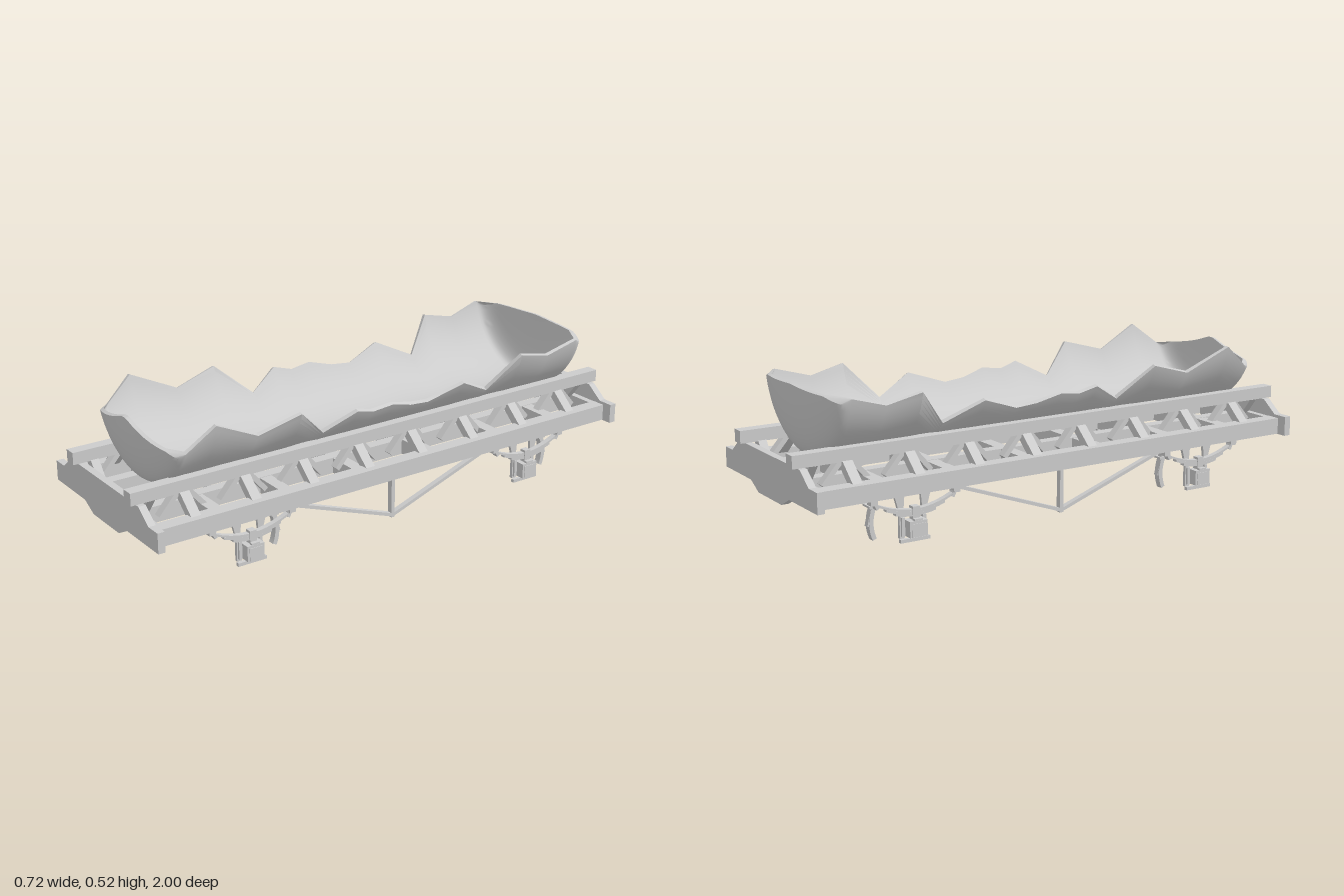
import * as THREE from 'three';
import { toCreasedNormals } from 'three/addons/utils/BufferGeometryUtils.js';

const mat = new THREE.MeshStandardMaterial({ color: 0xcccccc });
const V = (x, y, z) => new THREE.Vector3(x, y, z);

function add(parent, name, geo) {
  const m = new THREE.Mesh(geo, mat);
  m.name = name;
  parent.add(m);
  return m;
}
function box(parent, name, w, h, d, x, y, z) {
  const m = add(parent, name, new THREE.BoxGeometry(w, h, d));
  m.position.set(x, y, z);
  return m;
}
// Bar of w (x) by d (z) section between two points
function strut(parent, name, a, b, w, d) {
  const dir = b.clone().sub(a);
  const m = add(parent, name, new THREE.BoxGeometry(w, dir.length(), d));
  m.position.copy(a).add(b).multiplyScalar(0.5);
  m.quaternion.setFromUnitVectors(V(0, 1, 0), dir.normalize());
  return m;
}
// Side-view shape (shape x becomes -z), extruded across x and centred
function sidePlate(parent, name, shape, width, x, y, z) {
  const geo = new THREE.ExtrudeGeometry(shape, { depth: width, bevelEnabled: false, curveSegments: 10 });
  geo.translate(0, 0, -width / 2).rotateY(Math.PI / 2);
  add(parent, name, geo).position.set(x, y, z);
}
const poly = (pts) => new THREE.Shape(pts.map((p) => new THREE.Vector2(...p)));

// Lower part of a burst tank: body stations with a jagged rim, and dished ends
function tankShell() {
  const R = 0.3, CY = 0.565, T = 0.014, N = 40, CAP = 10, ZB = 0.82, DEPTH = 0.075;
  const jag = [ // z, rim height
    [0.82, 0.44], [0.72, 0.522], [0.55, 0.44], [0.39, 0.485], [0.265, 0.37], [0.15, 0.435],
    [0.08, 0.415], [0, 0.425], [-0.09, 0.4], [-0.17, 0.392], [-0.31, 0.44], [-0.45, 0.37],
    [-0.56, 0.5], [-0.69, 0.47], [-0.82, 0.508]];
  const angle = (y) => Math.acos((CY - y) / R);
  const rows = [];
  const capRow = (sign, k, sideY, midY) => (u, t) => {
    const th = u * angle(sideY);
    const rim = midY + (sideY - midY) * u * u;
    const rMin = Math.min(R, (CY - rim) / Math.cos(th));
    const q = (R + (rMin - R) * k * k) / R;
    const r = q * (R - t);
    const z = ZB + (DEPTH - t) * Math.pow(Math.max(0, 1 - Math.pow(q, 2.5)), 0.4);
    return [r * Math.sin(th), CY - r * Math.cos(th), sign * z];
  };
  for (let i = CAP; i > 0; i--) rows.push(capRow(1, i / CAP, jag[0][1], 0.497));
  for (const [z, y] of jag) rows.push((u, t) => {
    const th = u * angle(y);
    return [(R - t) * Math.sin(th), CY - (R - t) * Math.cos(th), z];
  });
  for (let i = 1; i <= CAP; i++) rows.push(capRow(-1, i / CAP, jag[jag.length - 1][1], 0.515));

  // Each row is a closed loop: outer skin one way, inner skin back
  const pos = [], idx = [], L = 2 * (N + 1);
  for (const row of rows) {
    for (let i = 0; i <= N; i++) pos.push(...row((2 * i) / N - 1, 0));
    for (let i = N; i >= 0; i--) pos.push(...row((2 * i) / N - 1, T));
  }
  for (let j = 0; j < rows.length - 1; j++) {
    for (let i = 0; i < L; i++) {
      const a = j * L + i, b = j * L + ((i + 1) % L), c = a + L, d = b + L;
      idx.push(a, c, b, b, c, d);
    }
  }
  // Close the rim at both ends
  const last = (rows.length - 1) * L;
  for (let i = 0; i < N; i++) {
    const o = i, o1 = i + 1, n = L - 1 - i, n1 = L - 2 - i;
    idx.push(n, o, n1, n1, o, o1);
    idx.push(last + n, last + n1, last + o, last + n1, last + o1, last + o);
  }
  const geo = new THREE.BufferGeometry();
  geo.setAttribute('position', new THREE.Float32BufferAttribute(pos, 3));
  geo.setIndex(idx);
  return toCreasedNormals(geo, 0.6);
}

// Axle guard, axle box, leaf spring and brake for one wheel position
function suspension(s, z0) {
  const g = new THREE.Group();
  g.name = 'suspension';
  for (const e of [-1, 1]) {
    sidePlate(g, 'axleGuardLeg', poly([[e * 0.03, 0.17], [e * 0.07, 0.17], [e * 0.05, 0.1],
      [e * 0.05, 0.015], [e * 0.032, 0.015], [e * 0.036, 0.1]]), 0.012, s * 0.272, 0, z0);
    strut(g, 'springShackle', V(s * 0.29, 0.18, z0 + e * 0.16), V(s * 0.29, 0.135, z0 + e * 0.14), 0.022, 0.012);
    box(g, 'springBracket', 0.03, 0.03, 0.025, s * 0.29, 0.165, z0 + e * 0.155);
    box(g, 'axleBoxRail', 0.01, 0.065, 0.012, s * 0.281, 0.055, z0 + e * 0.04);
  }
  box(g, 'axleGuardTie', 0.014, 0.012, 0.11, s * 0.288, 0.01, z0);
  box(g, 'axleBox', 0.045, 0.055, 0.066, s * 0.295, 0.052, z0);
  box(g, 'axleBoxLid', 0.012, 0.045, 0.05, s * 0.314, 0.048, z0);
  box(g, 'lidHinge', 0.014, 0.012, 0.03, s * 0.31, 0.08, z0);
  box(g, 'springBuckle', 0.026, 0.05, 0.026, s * 0.29, 0.1, z0);

  // Curved leaf pack, shorter below
  [0.145, 0.11, 0.075].forEach((h, i) => {
    const low = 0.108 - i * 0.008, end = low + 1.7 * h * h;
    const leaf = new THREE.Shape();
    leaf.moveTo(-h, end).quadraticCurveTo(0, 2 * low - end, h, end);
    leaf.lineTo(h, end + 0.008).quadraticCurveTo(0, 2 * low - end + 0.008, -h, end + 0.008);
    sidePlate(g, 'springLeaf', leaf, 0.02, s * 0.29, 0, z0);
  });

  // Brake shoe curved round the wheel position, with its hanger
  const shoe = new THREE.Shape();
  shoe.absarc(0, 0, 0.142, -0.42, 0.42, false);
  shoe.absarc(0, 0, 0.126, 0.42, -0.42, true);
  sidePlate(g, 'brakeShoe', shoe, 0.025, s * 0.227, 0.07, z0);
  strut(g, 'brakeHanger', V(s * 0.227, 0.06, z0 - 0.142), V(s * 0.227, 0.175, z0 - 0.115), 0.02, 0.012);
  box(g, 'brakeBar', 0.05, 0.007, 0.03, s * 0.216, 0.126, z0 - 0.125);
  return g;
}

export function createModel() {
  const model = new THREE.Group();
  model.name = 'brokenTankWagon';
  add(model, 'tankShell', tankShell());

  const frame = new THREE.Group();
  frame.name = 'frame';
  model.add(frame);

  // End plates with stepped outline
  const half = [[0.09, 0.138], [0.15, 0.169], [0.358, 0.169], [0.358, 0.241], [0.3, 0.241], [0.238, 0.288]];
  const outline = [...half, ...half.map(([x, y]) => [-x, y]).reverse()];
  for (const e of [-1, 1]) {
    const geo = new THREE.ExtrudeGeometry(poly(outline), { depth: 0.026, bevelEnabled: false });
    add(frame, 'endPlate', geo).position.z = e * 0.967 - 0.013;
    box(frame, 'endCrossBeam', 0.56, 0.058, 0.024, 0, 0.2, e * 0.942);
  }

  // Cross beams
  for (const z of [-0.72, -0.45, -0.15, 0.15, 0.45, 0.72])
    box(frame, 'crossBeam', 0.56, 0.055, 0.045, 0, 0.2, z);

  const stations = [-0.805, -0.575, -0.345, -0.115, 0.115, 0.345, 0.575, 0.805];
  for (const s of [-1, 1]) {
    // Longitudinal beams
    box(frame, 'upperBeam', 0.044, 0.044, 2, s * 0.203, 0.311, 0);
    box(frame, 'sideBeam', 0.052, 0.06, 1.91, s * 0.294, 0.2, 0);
    box(frame, 'centreSill', 0.042, 0.058, 1.91, s * 0.13, 0.2, 0);

    // Sloping posts and braces under the upper beam
    for (const z of stations) {
      strut(frame, 'slopingPost', V(s * 0.195, 0.298, z), V(s * 0.29, 0.215, z), 0.03, 0.036);
      for (const e of [-1, 1])
        strut(frame, 'brace', V(s * 0.203, 0.295, z + e * 0.015), V(s * 0.203, 0.215, z + e * 0.085), 0.03, 0.018);
    }
    for (const e of [-1, 1])
      strut(frame, 'endBrace', V(s * 0.203, 0.295, e * 0.92), V(s * 0.14, 0.215, e * 0.92), 0.03, 0.03);

    // Truss rod below the side beam
    box(frame, 'trussPost', 0.021, 0.172, 0.014, s * 0.263, 0.088, 0);
    for (const e of [-1, 1])
      strut(frame, 'trussRod', V(s * 0.263, 0.01, 0), V(s * 0.263, 0.172, e * 0.46), 0.02, 0.012);

    for (const z of [-0.597, 0.597]) model.add(suspension(s, z));
  }
  return model;
}
